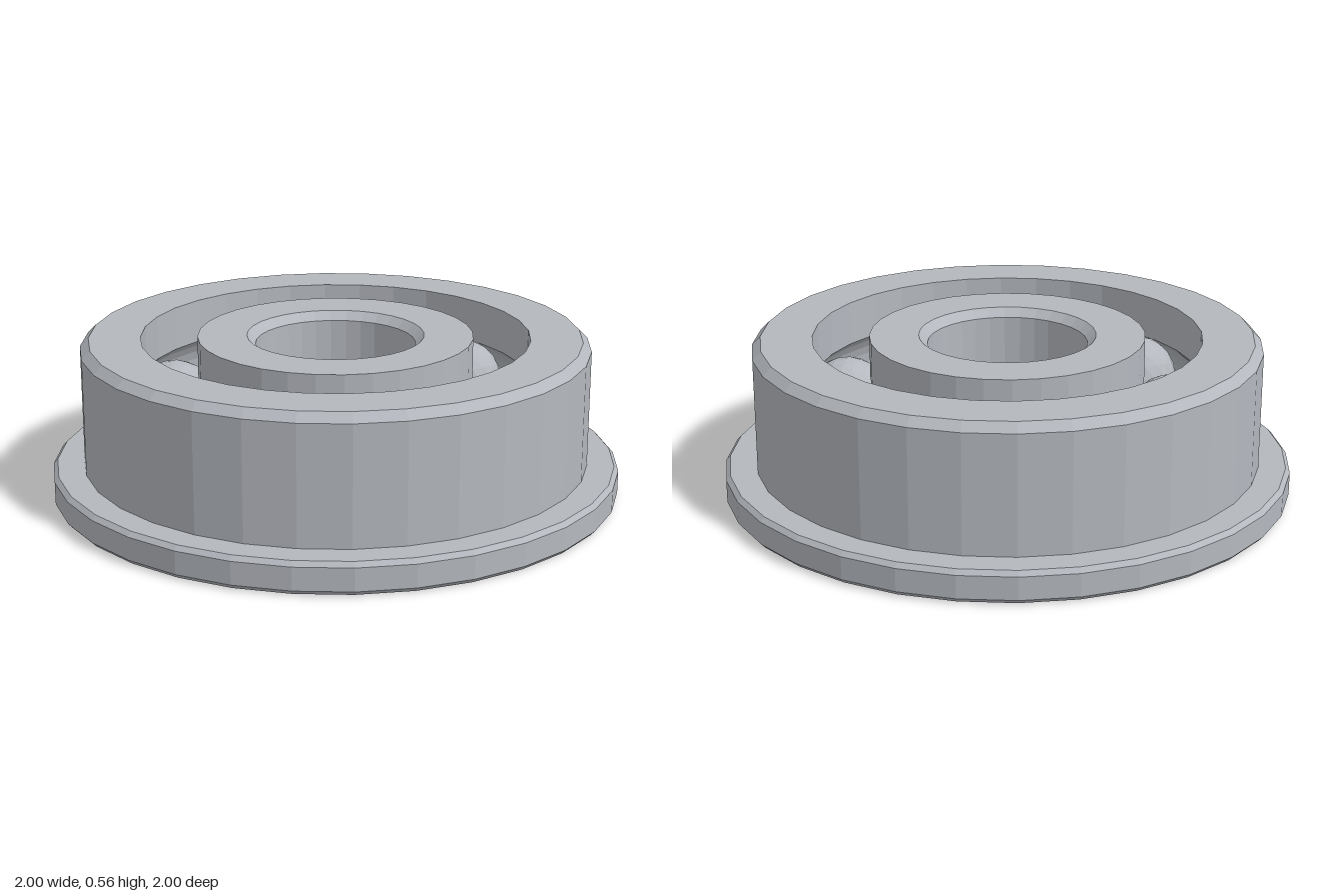
import * as THREE from 'three';

const SEGMENTS = 32;
const HEIGHT = 0.556;
const MID = HEIGHT / 2;
const PITCH = 0.58;        // radius of the circle of ball centres
const BALL = 0.153;
const GROOVE = 0.157;
const INNER = 0.482;       // outer radius of the inner race
const OUTER = 0.68;        // inner radius of the outer race

const steel = new THREE.MeshStandardMaterial({ color: 0xb4b8be });
steel.name = 'steel';

// Gives every facet its own normal
function faceted(geometry) {
  const flat = geometry.index ? geometry.toNonIndexed() : geometry;
  flat.computeVertexNormals();
  return flat;
}

// Ball groove cut into a race wall; side +1 is the outer wall (runs down), -1 the inner (runs up)
function groove(wall, side, steps = 8) {
  const limit = Math.acos(Math.abs(wall - PITCH) / GROOVE);
  return Array.from({ length: steps + 1 }, (_, i) => {
    const a = limit * (1 - (2 * i) / steps);
    return [PITCH + side * GROOVE * Math.cos(a), MID + side * GROOVE * Math.sin(a)];
  });
}

// Revolves a closed profile of [radius, height] pairs
function ring(name, profile) {
  const points = [...profile, profile[0]].map(([r, y]) => new THREE.Vector2(r, y));
  const mesh = new THREE.Mesh(faceted(new THREE.LatheGeometry(points, SEGMENTS)), steel);
  mesh.name = name;
  return mesh;
}

export function createModel() {
  const model = new THREE.Group();
  model.name = 'flangedBallBearing';

  // Outer race with its bevelled flange
  model.add(ring('outerRace', [
    [OUTER, 0], [0.985, 0], [1, 0.016], [1, 0.096], [0.985, 0.112],
    [0.89, 0.112], [0.89, HEIGHT - 0.03], [0.86, HEIGHT], [OUTER, HEIGHT],
    ...groove(OUTER, 1),
  ]));

  // Inner race with a chamfered bore
  model.add(ring('innerRace', [
    [0.28, 0.03], [0.31, 0], [INNER, 0],
    ...groove(INNER, -1),
    [INNER, HEIGHT], [0.31, HEIGHT], [0.28, HEIGHT - 0.03],
  ]));

  // Eight balls between the races
  const balls = new THREE.Group();
  balls.name = 'balls';
  const ballGeometry = faceted(new THREE.IcosahedronGeometry(BALL, 3));
  for (let i = 0; i < 8; i++) {
    const a = (i * Math.PI) / 4;
    const ball = new THREE.Mesh(ballGeometry, steel);
    ball.name = 'ball';
    ball.position.set(PITCH * Math.sin(a), MID, PITCH * Math.cos(a));
    ball.rotation.y = a;
    balls.add(ball);
  }
  model.add(balls);

  return model;
}
